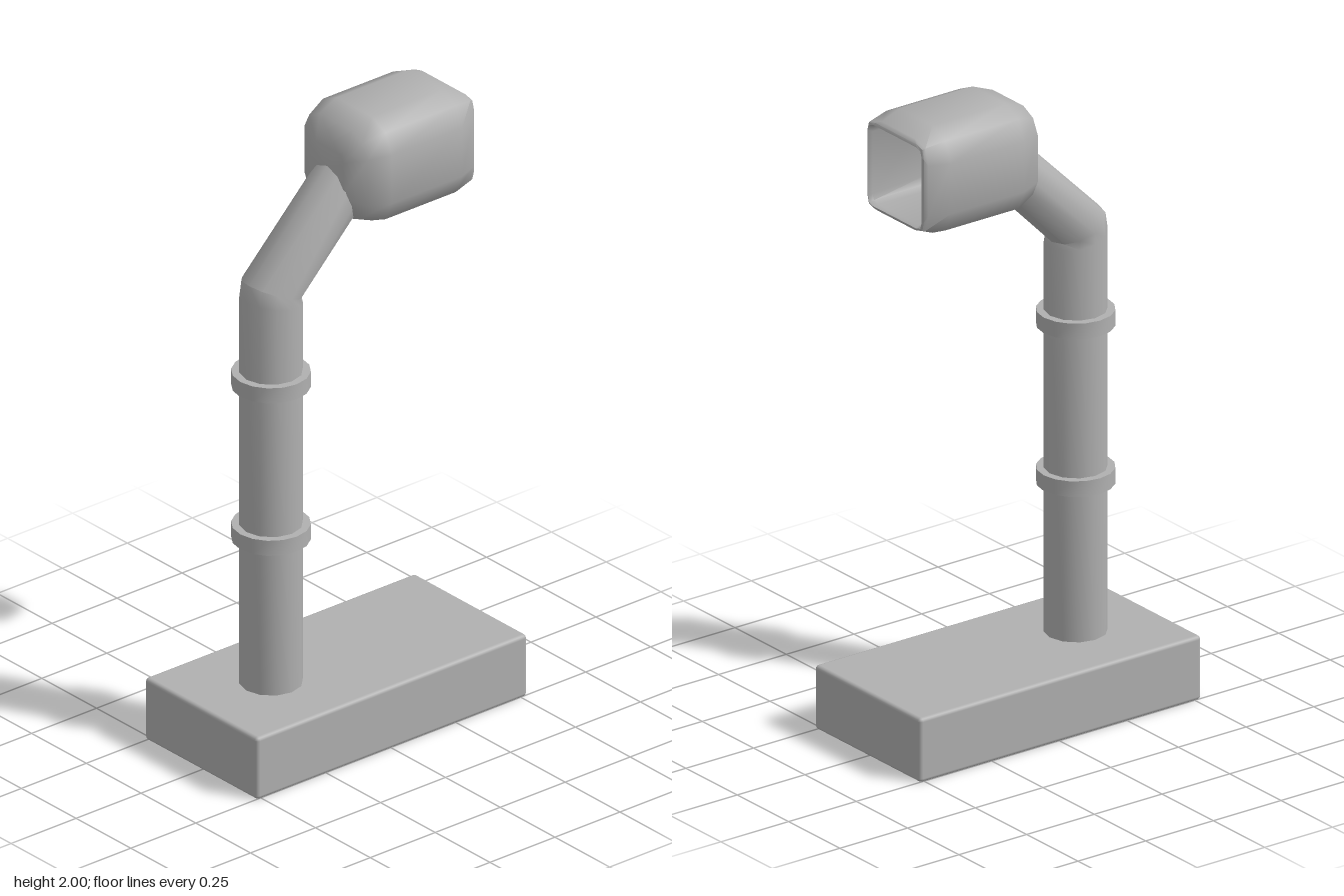
import * as THREE from 'three';
import { toCreasedNormals } from 'three/addons/utils/BufferGeometryUtils.js';
import { RoundedBoxGeometry } from 'three/addons/geometries/RoundedBoxGeometry.js';

// Skin a list of equal-length rings and close both ends
function loft(rings, crease) {
  const n = rings[0].length, pos = [], index = [];
  rings.forEach(r => r.forEach(p => pos.push(...p)));
  const centre = r => [0, 1, 2].map(k => r.reduce((s, p) => s + p[k], 0) / n);
  const last = (rings.length - 1) * n, c0 = rings.length * n, c1 = c0 + 1;
  pos.push(...centre(rings[0]), ...centre(rings[rings.length - 1]));
  for (let i = 0; i < n; i++) {
    const j = (i + 1) % n;
    for (let o = 0; o < last; o += n) {
      index.push(o + i, o + j, o + n + i, o + j, o + n + j, o + n + i);
    }
    index.push(c0, j, i, c1, last + i, last + j);
  }
  const g = new THREE.BufferGeometry();
  g.setAttribute('position', new THREE.Float32BufferAttribute(pos, 3));
  g.setIndex(index);
  return toCreasedNormals(g, crease);
}

// Rounded square: half size h, flat half length c, corner point at d
function squareRing([z, h, c, d]) {
  const ring = [];
  for (let q = 0; q < 4; q++) {
    const co = Math.round(Math.cos(q * Math.PI / 2)), si = Math.round(Math.sin(q * Math.PI / 2));
    for (const [x, y] of [[h, -c], [h, c], [d, d]]) {
      ring.push([x * co - y * si, x * si + y * co, z]);
    }
  }
  return ring;
}

// Twelve-sided tube ring; lean lifts its front and lowers its back
function tubeRing(y, z, rx, rz, lean) {
  return Array.from({ length: 12 }, (_, i) => {
    const a = i * Math.PI / 6, s = -Math.sin(a);
    return [rx * Math.cos(a), y + s * rz * lean, z + s * rz];
  });
}

export function createModel() {
  const model = new THREE.Group();
  const grey = new THREE.MeshStandardMaterial({ color: 0xb0b0b0 });
  grey.name = 'grey';
  const add = (name, geometry, x, y, z) => {
    const mesh = new THREE.Mesh(geometry, grey);
    mesh.name = name;
    mesh.position.set(x, y, z);
    model.add(mesh);
  };

  // Base slab with softened edges
  add('base', new RoundedBoxGeometry(0.515, 0.205, 1.04, 2, 0.012), 0, 0.1025, 0);

  // Upright post, mitred into the sloping arm
  add('post', loft([
    tubeRing(0.15, 0.25, 0.095, 0.095, 0),
    tubeRing(1.47, 0.25, 0.095, 0.095, 0.2),
    tubeRing(1.506, 0.249, 0.095, 0.087, 0.42),
    tubeRing(1.795, -0.04, 0.095, 0.06, 1),
  ], 0.7), 0, 0, 0);

  // Two collars round the post
  for (const y of [0.705, 1.21]) {
    add('collar', toCreasedNormals(new THREE.CylinderGeometry(0.118, 0.118, 0.05, 16), 0.7), 0, y, 0.25);
  }

  // Hollow head, from the cavity floor out over the lip to the front
  add('head', loft([
    [-0.16, 0.105, 0.07, 0.095],
    [-0.2, 0.125, 0.09, 0.115],
    [-0.405, 0.125, 0.1, 0.119],
    [-0.418, 0.13, 0.105, 0.124],
    [-0.415, 0.138, 0.1, 0.13],
    [-0.405, 0.146, 0.08, 0.132],
    [-0.34, 0.172, 0.08, 0.143],
    [-0.07, 0.172, 0.08, 0.143],
    [0, 0.145, 0.075, 0.122],
    [0.035, 0.075, 0.05, 0.067],
  ].map(squareRing), 0.9), 0, 1.828, 0);

  return model;
}
